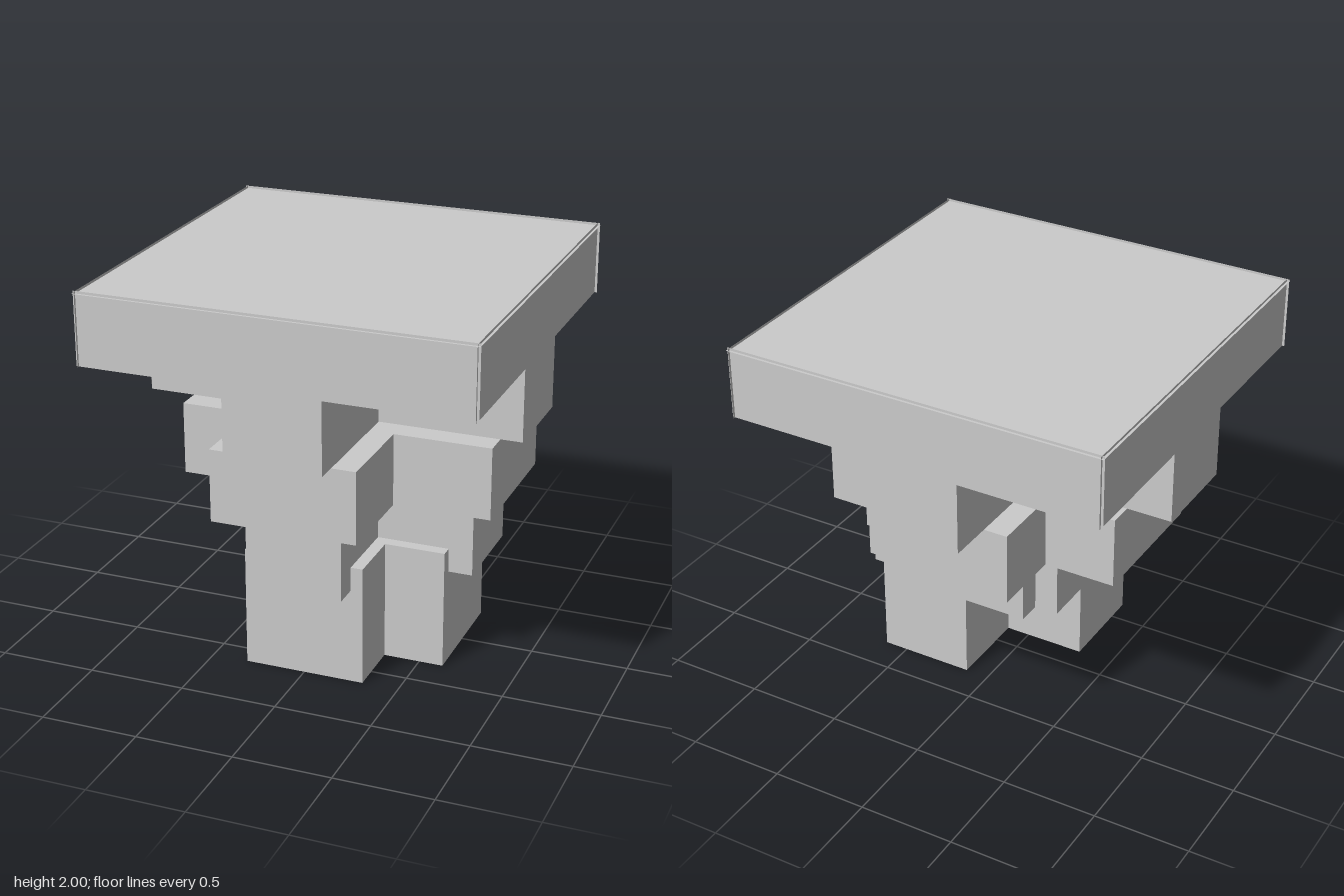
import * as THREE from 'three';

const material = new THREE.MeshStandardMaterial({ color: 0xcccccc, flatShading: true });
const thin = new THREE.MeshStandardMaterial({ color: 0xcccccc, flatShading: true, side: THREE.DoubleSide });

// Shape from corner pairs
const outline = (points) => new THREE.Shape(points.map(([a, b]) => new THREE.Vector2(a, b)));

// Block with the given [x, z] floor plan between heights y0 and y1
function block(name, plan, y0, y1) {
  const shape = outline(plan.map(([x, z]) => [x, -z]));
  const geometry = new THREE.ExtrudeGeometry(shape, { depth: y1 - y0, bevelEnabled: false });
  geometry.rotateX(-Math.PI / 2).translate(0, y0, 0);
  const mesh = new THREE.Mesh(geometry, material);
  mesh.name = name;
  return mesh;
}

// Cross plan: bars of half width w reaching from a to b along both axes
const cross = (w, a, b) => [
  [-w, a], [w, a], [w, -w], [b, -w], [b, w], [w, w],
  [w, b], [-w, b], [-w, w], [a, w], [a, -w], [-w, -w],
];
const square = (s) => [[-s, -s], [s, -s], [s, s], [-s, s]];

export function createModel() {
  const group = new THREE.Group();
  const inset = 0.0125;
  const core = 1 - inset - 0.001;

  // Stepped stem, widening towards the top
  const foot = [
    [-0.3125, 0.125], [-0.3125, 0.625], [0.3125, 0.625], [0.3125, 0.3125],
    [0.625, 0.3125], [0.625, -0.3125], [0.125, -0.3125], [0.125, 0.125],
  ];
  group.add(
    block('foot', foot, 0, 0.625),
    block('lowerStep', cross(0.25, -0.375, 0.75), 0.5, 0.875),
    block('middleStep', cross(0.375, -0.75, 0.875), 0.875, 1.25),
    block('upperCross', cross(0.25, -core, core), 1.25, 1.625),
    block('topSlab', square(core), 1.625, 2 - inset - 0.001),
  );

  // Thin T-shaped side panels, set in slightly so their ends cross at the corners
  const panelShape = outline([
    [-1, 2], [-1, 1.625], [-0.25, 1.625], [-0.25, 1.25],
    [0.25, 1.25], [0.25, 1.625], [1, 1.625], [1, 2],
  ]);
  const panelGeometry = new THREE.ShapeGeometry(panelShape).translate(0, 0, 1 - inset);
  ['frontPanel', 'leftPanel', 'backPanel', 'rightPanel'].forEach((name, i) => {
    const panel = new THREE.Mesh(panelGeometry, thin);
    panel.name = name;
    panel.rotation.y = (i * Math.PI) / 2;
    group.add(panel);
  });

  // Thin top sheet, just below the panels' upper edges
  const sheet = new THREE.Mesh(new THREE.PlaneGeometry(2, 2).rotateX(-Math.PI / 2), thin);
  sheet.name = 'topSheet';
  sheet.position.y = 2 - inset;
  group.add(sheet);

  return group;
}
